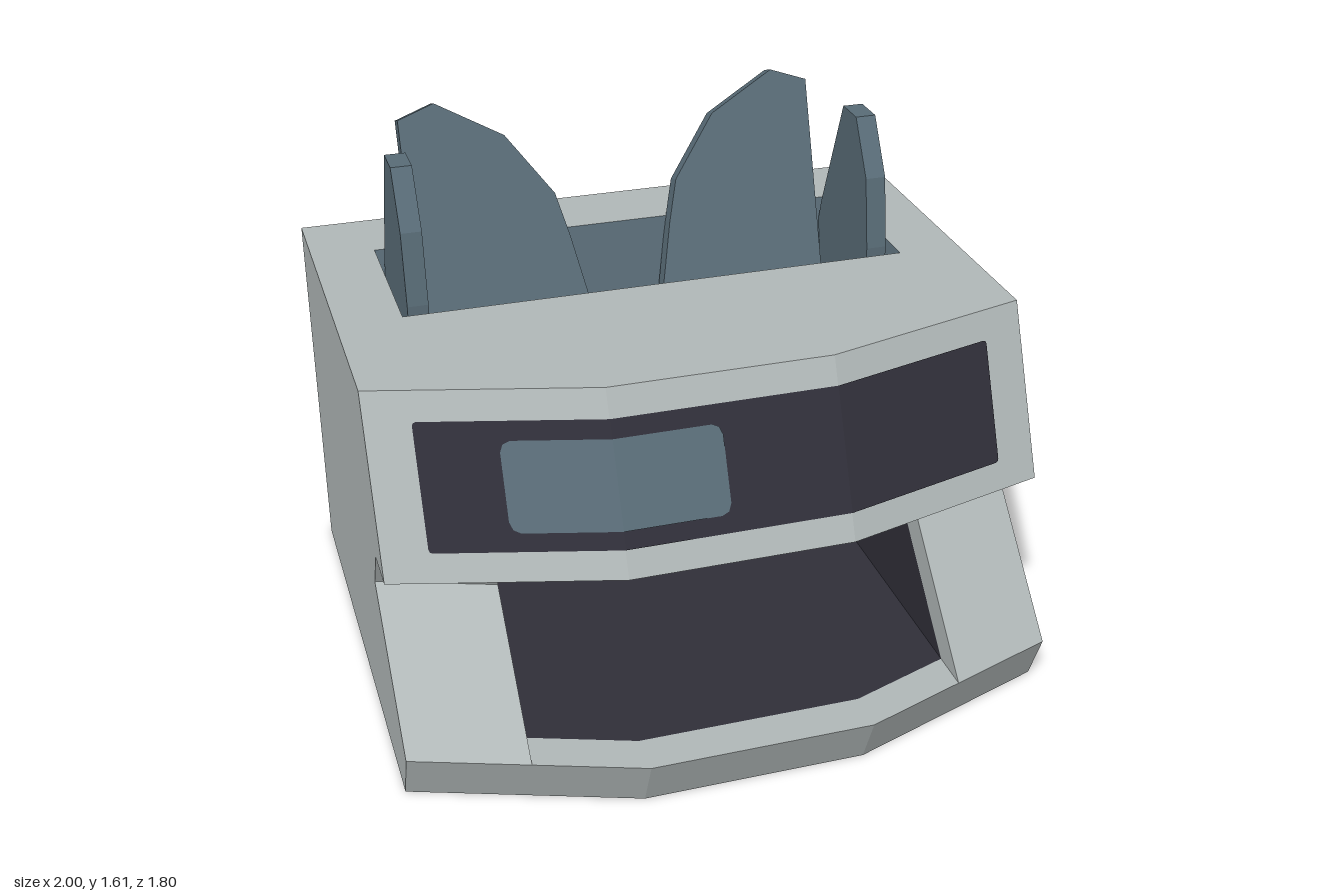
import * as THREE from 'three';

const V = (x, y, z) => new THREE.Vector3(x, y, z);

// Adds a flat polygon (optionally with one hole) facing roughly along the hint direction
function face(out, pts, hint, hole) {
  const ax = ['x', 'y', 'z'];
  const a = Math.abs(hint.x), b = Math.abs(hint.y), c = Math.abs(hint.z);
  const drop = a >= b && a >= c ? 0 : b >= c ? 1 : 2;
  const [u, v] = ax.filter((_, i) => i !== drop);
  const flat = (list) => list.map((p) => new THREE.Vector2(p[u], p[v]));
  const ordered = (list, ccw) =>
    (THREE.ShapeUtils.area(flat(list)) > 0) === ccw ? list : [...list].reverse();
  const outer = ordered(pts, true), inner = hole ? [ordered(hole, false)] : [];
  const all = outer.concat(...inner);
  for (const t of THREE.ShapeUtils.triangulateShape(flat(outer), inner.map(flat))) {
    const [p, q, r] = t.map((i) => all[i]);
    const n = q.clone().sub(p).cross(r.clone().sub(p));
    for (const w of n.dot(hint) > 0 ? [p, q, r] : [p, r, q]) out.push(w.x, w.y, w.z);
  }
}

function mesh(name, positions, material) {
  const g = new THREE.BufferGeometry();
  g.setAttribute('position', new THREE.Float32BufferAttribute(positions, 3));
  g.computeVertexNormals();
  const m = new THREE.Mesh(g, material);
  m.name = name;
  return m;
}

// Front profile rows: height, z at the sides, extra z at the middle
const rows = [
  [0, 0.595, 0.235], [0.165, 0.665, 0.235], [0.54, 0.29, 0.235],
  [0.67, 0.365, 0.235], [0.67, 0.51, 0.18], [1.17, 0.29, 0.18],
];
const columns = [-1, -0.66, -0.34, 0.34, 0.66, 1];
const back = -0.9, top = 1.17;
const bulge = (x) => Math.min(1, (1 - Math.abs(x)) / 0.66);
const at = (r, x, dz = 0) => V(x, rows[r][0], rows[r][1] + rows[r][2] * bulge(x) + dz);

const UP = V(0, 1, 0), DOWN = V(0, -1, 0), FRONT = V(0, 0, 1), BACK = V(0, 0, -1);

export function createModel() {
  const shell = new THREE.MeshStandardMaterial({ color: 0xb1b8b8 });
  shell.name = 'light grey shell';
  const dark = new THREE.MeshStandardMaterial({ color: 0x302f39 });
  dark.name = 'dark plastic';
  const blue = new THREE.MeshStandardMaterial({ color: 0x596c77 });
  blue.name = 'slate blue';
  const model = new THREE.Group();
  model.name = 'machine';

  const body = [], pocket = [];
  const rim = -0.13, pocketBack = -0.6;

  // Faceted front, with the pocket opening left out of the middle columns
  for (let i = 0; i < columns.length - 1; i++) {
    const a = columns[i], b = columns[i + 1];
    const middle = i > 0 && i < 4;
    const strip = (r, hint) => face(body, [at(r, a), at(r, b), at(r + 1, b), at(r + 1, a)], hint);
    strip(0, FRONT);
    strip(3, DOWN);
    strip(4, FRONT);
    if (!middle) {
      strip(1, FRONT);
      strip(2, FRONT);
      continue;
    }
    // Pocket floor and ceiling: light rim, dark inside
    for (const [r, hint] of [[1, UP], [3, DOWN]]) {
      const y = rows[r][0];
      face(body, [at(r, a), at(r, b), at(r, b, rim), at(r, a, rim)], hint);
      face(pocket, [at(r, a, rim), at(r, b, rim), V(b, y, pocketBack), V(a, y, pocketBack)], hint);
    }
  }

  for (const s of [-1, 1]) {
    // Outer sides
    face(body, [V(s, 0, back), ...rows.map((_, r) => at(r, s)), V(s, top, back)], V(s, 0, 0));
    // Pocket side walls
    const x = 0.66 * s, hint = V(-s, 0, 0);
    for (const r of [1, 2]) {
      face(body, [at(r, x), at(r + 1, x), at(r + 1, x, rim), at(r, x, rim)], hint);
    }
    face(pocket, [at(1, x, rim), at(2, x, rim), at(3, x, rim),
      V(x, 0.67, pocketBack), V(x, 0.165, pocketBack)], hint);
  }
  face(pocket, [V(-0.66, 0.165, pocketBack), V(0.66, 0.165, pocketBack),
    V(0.66, 0.67, pocketBack), V(-0.66, 0.67, pocketBack)], FRONT);

  // Back, underside and top with the hopper opening
  face(body, [V(-1, 0, back), V(1, 0, back), V(1, top, back), V(-1, top, back)], BACK);
  const edge = (r) => [-1, -0.34, 0.34, 1].map((x) => at(r, x));
  face(body, [...edge(0), V(1, 0, back), V(-1, 0, back)], DOWN);
  const ring = (x, y, z0, z1) => [V(-x, y, z0), V(x, y, z0), V(x, y, z1), V(-x, y, z1)];
  const mouth = ring(0.8, top, -0.65, -0.14);
  face(body, [...edge(5), V(1, top, back), V(-1, top, back)], UP, mouth);
  model.add(mesh('body', body, shell), mesh('pocket', pocket, dark));

  // Hopper with tapering walls
  const floorY = 0.85;
  const base = ring(0.71, floorY, -0.57, -0.2);
  const walls = [], floor = [];
  [FRONT, V(-1, 0, 0), BACK, V(1, 0, 0)].forEach((hint, i) => {
    const j = (i + 1) % 4;
    face(walls, [mouth[i], mouth[j], base[j], base[i]], hint);
  });
  face(floor, base, UP);
  model.add(mesh('hopperWalls', walls, blue), mesh('hopperFloor', floor, dark));

  // Thin plates that follow the faceted upper front
  const onVisor = (x, y, lift) => {
    const k = (y - 0.67) / 0.5;
    return V(x, y, THREE.MathUtils.lerp(at(4, x).z, at(5, x).z, k) + lift);
  };
  const plate = (name, x0, x1, y0, y1, r, lift, material) => {
    const out = [];
    const xs = [x0, ...[-0.34, 0.34].filter((x) => x > x0 && x < x1), x1];
    for (let i = 0; i < xs.length - 1; i++) {
      const a = xs[i], b = xs[i + 1];
      const ra = i === 0 ? r : 0, rb = i === xs.length - 2 ? r : 0;
      const pts = [];
      const corner = (x, y, sx, sy, q) => {
        if (!q) return [[x, y]];
        return [[x, y + sy * q], [x + sx * q * 0.3, y + sy * q * 0.3], [x + sx * q, y]];
      };
      pts.push(...corner(a, y0, 1, 1, ra), ...corner(b, y0, -1, 1, rb).reverse(),
        ...corner(b, y1, -1, -1, rb), ...corner(a, y1, 1, -1, ra).reverse());
      face(out, pts.map(([x, y]) => onVisor(x, y, lift)), FRONT);
    }
    model.add(mesh(name, out, material));
  };
  plate('displayPanel', -0.87, 0.87, 0.75, 1.09, 0.01, 0.004, dark);
  plate('displayScreen', -0.645, -0.02, 0.8, 1.04, 0.03, 0.008, blue);

  // Flaps rising out of the hopper
  const extrude = (pts, depth) => new THREE.ExtrudeGeometry(
    new THREE.Shape(pts.map(([x, y]) => new THREE.Vector2(x, y))),
    { depth, bevelEnabled: false });
  const tilt = 0.34;
  const rearOutline = [[0.1, 0.85], [0.685, 0.85], [0.685, 1.565], [0.565, 1.605],
    [0.35, 1.49], [0.205, 1.3], [0.17, 1.17]];
  const sideOutline = [[-0.2, 0.85], [-0.2, 1.17], [-0.235, 1.395], [-0.34, 1.565],
    [-0.45, 1.565], [-0.61, 1.17], [-0.63, 1.1], [-0.57, 0.85]];
  for (const s of [-1, 1]) {
    const side = s > 0 ? 'left' : 'right';
    const rear = extrude(rearOutline.map(([x, y]) => [s * x, (y - floorY) / Math.cos(tilt)]), 0.06);
    rear.translate(0, 0, -0.06).rotateX(-tilt).translate(0, floorY, -0.48);
    const rearFlap = new THREE.Mesh(rear, blue);
    rearFlap.name = side + 'RearFlap';

    const flank = extrude(sideOutline.map(([z, y]) => [-z, y]), 0.065);
    flank.rotateY(Math.PI / 2).translate(s > 0 ? 0.71 : -0.775, 0, 0);
    const sideFlap = new THREE.Mesh(flank, blue);
    sideFlap.name = side + 'SideFlap';
    model.add(rearFlap, sideFlap);
  }
  return model;
}
